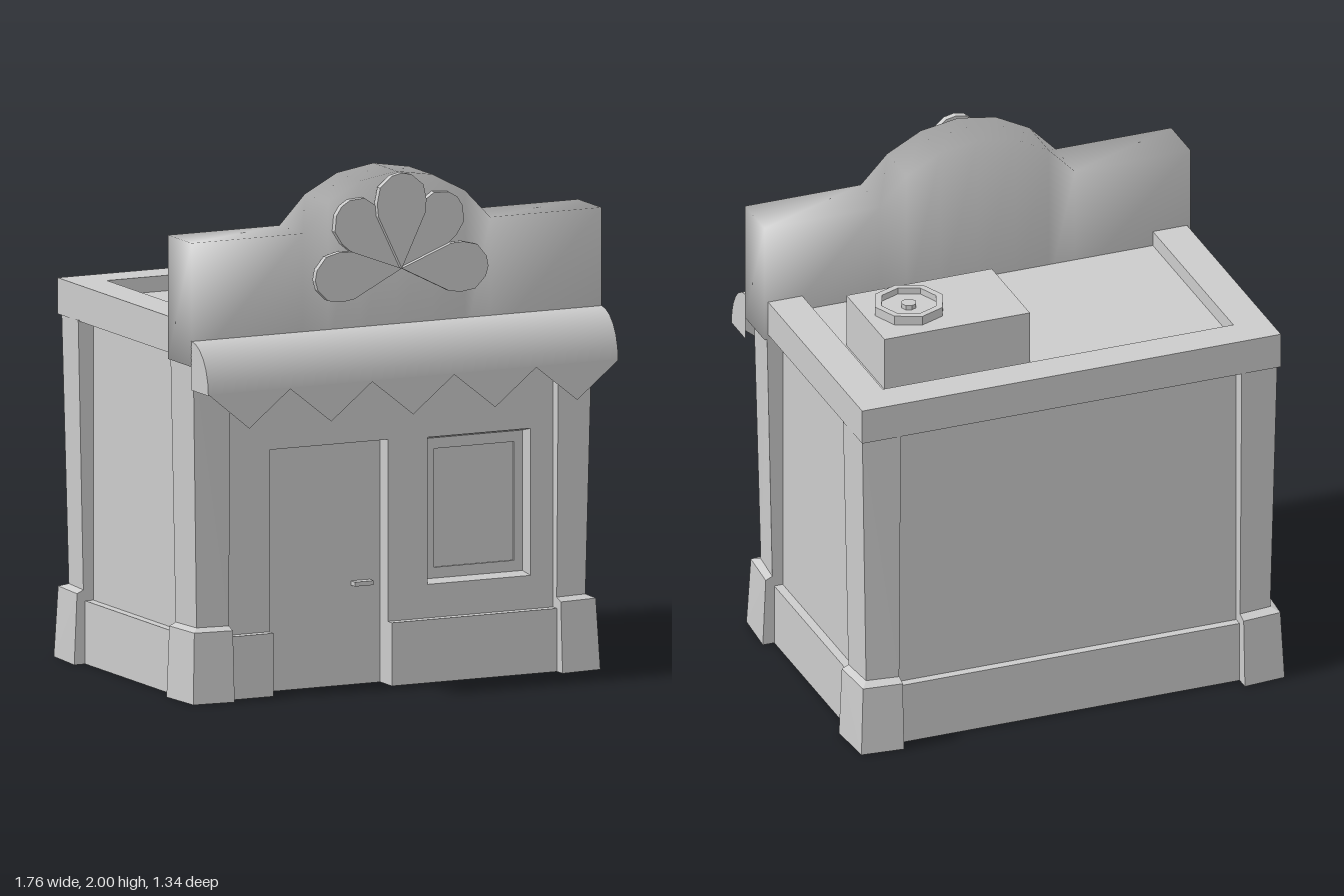
import * as THREE from 'three';
import { mergeVertices } from 'three/addons/utils/BufferGeometryUtils.js';

const mat = new THREE.MeshStandardMaterial({ color: 0xcccccc, side: THREE.DoubleSide });
const flat = new THREE.MeshStandardMaterial({ color: 0xcccccc, side: THREE.DoubleSide, flatShading: true });

function add(group, name, geometry, material = mat) {
  const mesh = new THREE.Mesh(geometry, material);
  mesh.name = name;
  group.add(mesh);
  return mesh;
}

// Box given by its limits on each axis
function box(x0, x1, y0, y1, z0, z1) {
  return new THREE.BoxGeometry(x1 - x0, y1 - y0, z1 - z0)
    .translate((x0 + x1) / 2, (y0 + y1) / 2, (z0 + z1) / 2);
}

function extrude(shape, depth) {
  return new THREE.ExtrudeGeometry(shape, { depth, bevelEnabled: false });
}

function polygon(points) {
  return new THREE.Shape(points.map(([x, y]) => new THREE.Vector2(x, y)));
}

// Faceted skin through a list of equally long point rows
function loft(rows) {
  const out = [];
  for (let r = 0; r + 1 < rows.length; r++) {
    for (let i = 0; i + 1 < rows[r].length; i++) {
      const [a, b, c, d] = [rows[r][i], rows[r][i + 1], rows[r + 1][i + 1], rows[r + 1][i]];
      out.push(...a, ...b, ...c, ...a, ...c, ...d);
    }
  }
  const g = new THREE.BufferGeometry();
  g.setAttribute('position', new THREE.Float32BufferAttribute(out, 3));
  g.computeVertexNormals();
  return g;
}

// Closed rectangle of points facing the front
function rectRow(x0, x1, y0, y1, z) {
  return [[x0, y0, z], [x1, y0, z], [x1, y1, z], [x0, y1, z], [x0, y0, z]];
}

// Footing, sloped cap and leaning pillar as one skin around a corner
function corner(s, zIn, zBase, zWall, zLevels) {
  const inward = -0.015 * Math.sign(zWall);
  const xLevels = [0.882, 0.87, 0.843, 0.865];
  const row = (y, xe, ze) => [[0.7, zWall], [0.7, ze], [xe - 0.013, ze + inward], [xe, zIn], [0.8, zIn]]
    .map(([x, z]) => [s * x, y, z]);
  const sole = [[0.7, zBase], [0.7, zBase], [0.835, zBase], [0.835, zIn], [0.835, zIn]]
    .map(([x, z]) => [s * x, 0, z]);
  return loft([sole, ...[0, 0.275, 0.288, 1.335].map((y, i) => row(y, xLevels[i], zLevels[i]))]);
}

function createWalls(group) {
  // Front wall with a door notch and a window opening
  const front = polygon([[-0.8, 0.245], [-0.51, 0.245], [-0.51, 0.95], [-0.005, 0.95],
    [-0.005, 0.245], [0.8, 0.245], [0.8, 1.335], [-0.8, 1.335]]);
  front.holes.push(polygon([[0.165, 0.375], [0.165, 0.945], [0.605, 0.945], [0.605, 0.375]]));
  add(group, 'frontWall', new THREE.ShapeGeometry(front).translate(0, 0, 0.465));

  const sideAndBack = (y) => [[0.8, y, 0.465], [0.8, y, -0.58], [-0.8, y, -0.58], [-0.8, y, 0.465]];
  add(group, 'sideAndBackWalls', loft([sideAndBack(0.245), sideAndBack(1.335)]), flat);

  // Baseboard runs around the shop from one door jamb to the other
  const plinth = (y, d) => [[-0.005, y, 0.465], [-0.005, y, 0.465 + d], [0.8 + d, y, 0.465 + d],
    [0.8 + d, y, -0.58 - d], [-0.8 - d, y, -0.58 - d], [-0.8 - d, y, 0.465 + d],
    [-0.51, y, 0.465 + d], [-0.51, y, 0.465]];
  add(group, 'baseboard', loft([plinth(0, 0.035), plinth(0.245, 0.035), plinth(0.245, 0)]), flat);

  for (const [s, side] of [[1, 'left'], [-1, 'right']]) {
    add(group, side + 'FrontCorner', corner(s, 0.33, 0.5, 0.465, [0.547, 0.532, 0.497, 0.513]), flat);
    add(group, side + 'BackCorner', corner(s, -0.455, -0.615, -0.58, [-0.67, -0.657, -0.62, -0.637]), flat);
  }
}

function createDoorAndWindow(group) {
  const doorway = (z) => [[-0.51, 0, z], [-0.51, 0.95, z], [-0.005, 0.95, z], [-0.005, 0, z]];
  add(group, 'doorReveal', loft([doorway(0.465), doorway(0.4)]), flat);
  add(group, 'door', new THREE.PlaneGeometry(0.505, 0.95).translate(-0.2575, 0.475, 0.4));
  add(group, 'doorHandle', box(-0.13, -0.05, 0.385, 0.402, 0.4, 0.435));

  // Splayed reveal, flat frame and a slightly sunken pane
  add(group, 'windowFrame', loft([
    rectRow(0.165, 0.605, 0.375, 0.945, 0.465),
    rectRow(0.178, 0.592, 0.388, 0.932, 0.42),
    rectRow(0.215, 0.557, 0.43, 0.89, 0.42),
    rectRow(0.215, 0.557, 0.43, 0.89, 0.412)]), flat);
  add(group, 'windowPane', new THREE.PlaneGeometry(0.342, 0.46).translate(0.386, 0.66, 0.412));
}

function createRoof(group) {
  // Parapet is a U that closes against the sign board
  const rim = polygon([[-0.86, -0.33], [-0.72, -0.33], [-0.72, 0.5], [0.72, 0.5],
    [0.72, -0.33], [0.86, -0.33], [0.86, 0.64], [-0.86, 0.64]]);
  add(group, 'parapet', extrude(rim, 0.14).rotateX(-Math.PI / 2).translate(0, 1.33, 0));
  add(group, 'roofDeck', new THREE.PlaneGeometry(1.44, 0.84).rotateX(-Math.PI / 2).translate(0, 1.41, -0.085));

  add(group, 'ventBox', box(0.075, 0.672, 1.41, 1.625, -0.398, -0.005));
  const fan = [[0.14, 0], [0.14, 0.037], [0.112, 0.037], [0.112, 0.012], [0.03, 0.012], [0.03, 0.03], [0, 0.03]]
    .map(([r, y]) => new THREE.Vector2(r, y));
  add(group, 'ventFan', new THREE.LatheGeometry(fan, 8), flat).position.set(0.493, 1.625, -0.2);
}

function createSign(group) {
  // Board whose upper edge follows a faceted arch in the middle
  const half = Math.asin(0.4 / 0.486);
  const columns = 8;
  const board = new THREE.BoxGeometry(columns, 1, 0.2, columns, 1, 1).translate(0, 0, 0.43);
  const p = board.attributes.position;
  for (let i = 0; i < p.count; i++) {
    const c = Math.round(p.getX(i));
    const a = (half * c) / 3;
    const end = Math.abs(c) === 4;
    const top = end ? 1.79 : 1.514 + 0.486 * Math.cos(a);
    p.setX(i, end ? Math.sign(c) * 0.875 : 0.486 * Math.sin(a));
    p.setY(i, p.getY(i) > 0 ? top : 1.31);
  }
  // Shared vertices let the shading flow softly over the edges
  board.deleteAttribute('normal');
  board.deleteAttribute('uv');
  const soft = mergeVertices(board, 1e-4);
  soft.computeVertexNormals();
  add(group, 'signBoard', soft);

  // Fan of five petals
  const petals = new THREE.Group();
  petals.name = 'petalOrnament';
  for (const [angle, length, width, z] of [[0, 0.37, 0.105, 0.55], [44, 0.355, 0.1, 0.53],
    [-44, 0.355, 0.1, 0.53], [93, 0.37, 0.097, 0.55], [-93, 0.37, 0.097, 0.55]]) {
    const right = [[0.95, 0.56], [1, 0.7], [0.88, 0.86], [0.4, 0.975]]
      .map(([w, l]) => [w * width, l * length]);
    const left = right.map(([x, y]) => [-x, y]).reverse();
    const petal = add(petals, 'petal',
      extrude(polygon([[0, 0], ...right, [0, length], ...left]), 0.025));
    petal.position.set(0, 1.63, z);
    petal.rotation.z = THREE.MathUtils.degToRad(angle);
  }
  group.add(petals);
}

function createAwning(group) {
  // Quarter-round hood with closed ends
  const hood = new THREE.CylinderGeometry(1, 1, 1.75, 6, 1, false, 0, Math.PI / 2)
    .rotateZ(Math.PI / 2).scale(1, 0.19, 0.147).translate(0, 1.22, 0.525);
  add(group, 'awningHood', hood);

  // Hanging zigzag edge
  const edge = [[-0.875, 1.225]];
  for (let i = 0; i < 5; i++) {
    edge.push([-0.7 + 0.35 * i, 1.08], [-0.525 + 0.35 * i, 1.22]);
  }
  edge.push([0.875, 1.225]);
  add(group, 'awningValance', new THREE.ShapeGeometry(polygon(edge)).translate(0, 0, 0.672));
}

export function createModel() {
  const shop = new THREE.Group();
  shop.name = 'shop';
  createWalls(shop);
  createDoorAndWindow(shop);
  createRoof(shop);
  createSign(shop);
  createAwning(shop);
  return shop;
}
